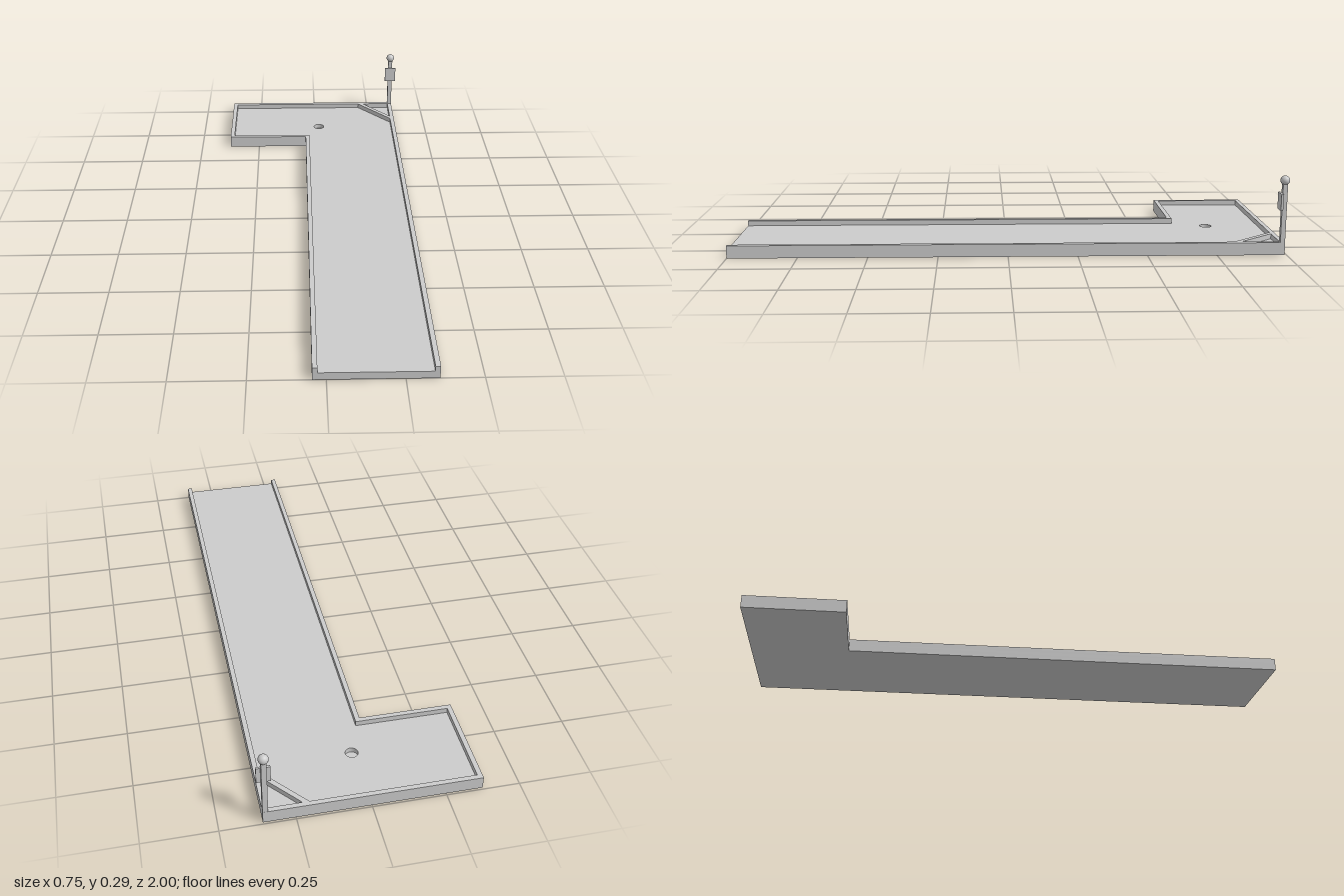
import * as THREE from 'three';

export function createModel() {
  const group = new THREE.Group();
  const material = new THREE.MeshStandardMaterial({ color: 0xcccccc });

  const add = (name, geometry, x = 0, y = 0, z = 0) => {
    const mesh = new THREE.Mesh(geometry, material);
    mesh.name = name;
    mesh.position.set(x, y, z);
    group.add(mesh);
  };

  // Plan outline in (x, z), extruded between two heights
  const planShape = (points) => new THREE.Shape(points.map(([x, z]) => new THREE.Vector2(x, z)));
  const slab = (shape, bottom, top) =>
    new THREE.ExtrudeGeometry(shape, { depth: top - bottom, bevelEnabled: false, curveSegments: 24 })
      .rotateX(Math.PI / 2)
      .translate(0, top, 0);

  const wall = 0.017;
  const cupFloor = 0.009, floorTop = 0.027, rimTop = 0.046;
  const left = 0.358, right = -0.375, lane = -0.045;
  const back = -0.993, front = 1, wing = -0.634;

  const outer = [[lane, front], [lane, wing], [right, wing], [right, back], [left, back], [left, front]];
  const inner = [
    [left - wall, front], [left - wall, back + wall], [right + wall, back + wall],
    [right + wall, wing - wall], [lane + wall, wing - wall], [lane + wall, front],
  ];

  // L-shaped course: closed underside, then the playing surface with the cup
  add('underside', slab(planShape(outer), 0, cupFloor));
  const surface = planShape(outer);
  const cup = new THREE.Path();
  cup.absarc(0.016, -0.775, 0.022, 0, Math.PI * 2, true);
  surface.holes.push(cup);
  add('playingSurface', slab(surface, cupFloor, floorTop));

  // Raised border, open at the front end
  add('border', slab(planShape([...outer, ...inner]), floorTop, rimTop));

  // Diagonal bank across the far corner
  const bank = [
    [0.203, back + wall], [0.226, back + wall],
    [left - wall, -0.84], [left - wall, -0.813],
  ];
  add('cornerBank', slab(planShape(bank), floorTop, rimTop));

  // Marker post with sign plate and ball finial
  const postX = 0.349, postZ = -0.984;
  add('post', new THREE.BoxGeometry(0.018, 0.22, 0.017), postX, rimTop + 0.11, postZ);
  add('signPlate', new THREE.BoxGeometry(0.047, 0.061, 0.008), postX, 0.195, -0.9715);
  add('ballFinial', new THREE.SphereGeometry(0.017, 32, 20), postX, 0.272, postZ);

  return group;
}
